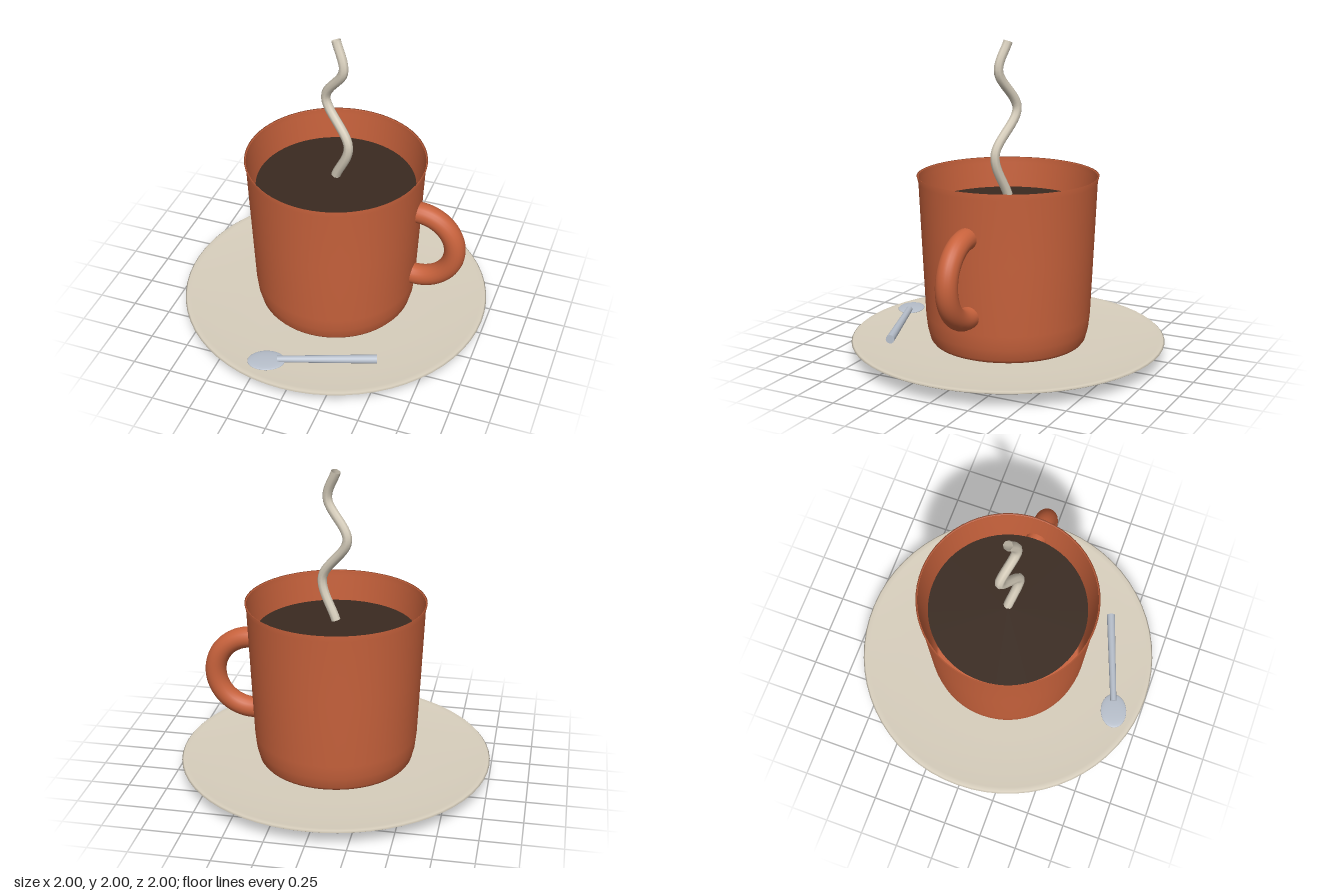
import * as THREE from 'three';

const material = (name, color, side = THREE.FrontSide) => {
  const m = new THREE.MeshStandardMaterial({ color, side });
  m.name = name;
  return m;
};

const lathe = (points) =>
  new THREE.LatheGeometry(points.map(([r, y]) => new THREE.Vector2(r, y)), 64);

export function createModel() {
  const terracotta = material('terracotta', 0xc8623c, THREE.DoubleSide);
  const cream = material('cream', 0xd8cfbd, THREE.DoubleSide);
  const coffeeBrown = material('coffee brown', 0x3a2a20);
  const steel = material('steel', 0xb8c0cc);

  const model = new THREE.Group();
  model.name = 'cupAndSaucer';
  const add = (name, geometry, mat, parent = model) => {
    const mesh = new THREE.Mesh(geometry, mat);
    mesh.name = name;
    parent.add(mesh);
    return mesh;
  };

  // Shallow saucer: underside, thin lip, gently dished top
  add('saucer', lathe([
    [0, 0], [0.6, 0], [0.78, 0.028], [0.99, 0.093], [1, 0.1],
    [0.99, 0.108], [0.96, 0.106], [0.85, 0.097], [0.6, 0.088], [0, 0.085],
  ]), cream);

  // Thin-walled mug with a slightly flared rim
  add('mug', lathe([
    [0, 0.09], [0.48, 0.09], [0.495, 0.11], [0.513, 0.18], [0.523, 0.27],
    [0.542, 0.7], [0.56, 1.12], [0.57, 1.16], [0.56, 1.155],
  ]), terracotta);

  // Coffee surface
  const coffee = add('coffee', new THREE.CircleGeometry(0.505, 64), coffeeBrown);
  coffee.rotation.x = -Math.PI / 2;
  coffee.position.y = 0.97;

  // Handle: an arc whose ends run into the mug wall
  const arc = Math.PI * 1.2;
  const handle = add('handle', new THREE.TorusGeometry(0.247, 0.068, 20, 48, arc), terracotta);
  handle.rotation.z = -arc / 2;
  handle.position.set(0.545, 0.625, 0);

  // Wavy wisp of steam
  const wisp = new THREE.CatmullRomCurve3([
    [0, 1.03, 0], [0.095, 1.29, 0.042], [-0.075, 1.57, -0.025],
    [0.06, 1.81, 0.035], [0, 1.99, 0],
  ].map((p) => new THREE.Vector3(...p)));
  add('steam', new THREE.TubeGeometry(wisp, 48, 0.03, 8), cream);

  // Spoon: local x runs from bowl to handle end
  const spoon = new THREE.Group();
  spoon.name = 'spoon';
  spoon.position.set(-0.165, 0.12, 0.822);
  spoon.rotation.y = 0.345;
  model.add(spoon);
  const bowl = add('spoonBowl', new THREE.SphereGeometry(1, 32, 16), steel, spoon);
  bowl.scale.set(0.118, 0.011, 0.087);
  const stem = add('spoonHandle', new THREE.CylinderGeometry(0.021, 0.028, 0.62, 16), steel, spoon);
  stem.rotation.z = Math.PI / 2;
  stem.position.set(0.378, 0.012, 0);

  return model;
}
